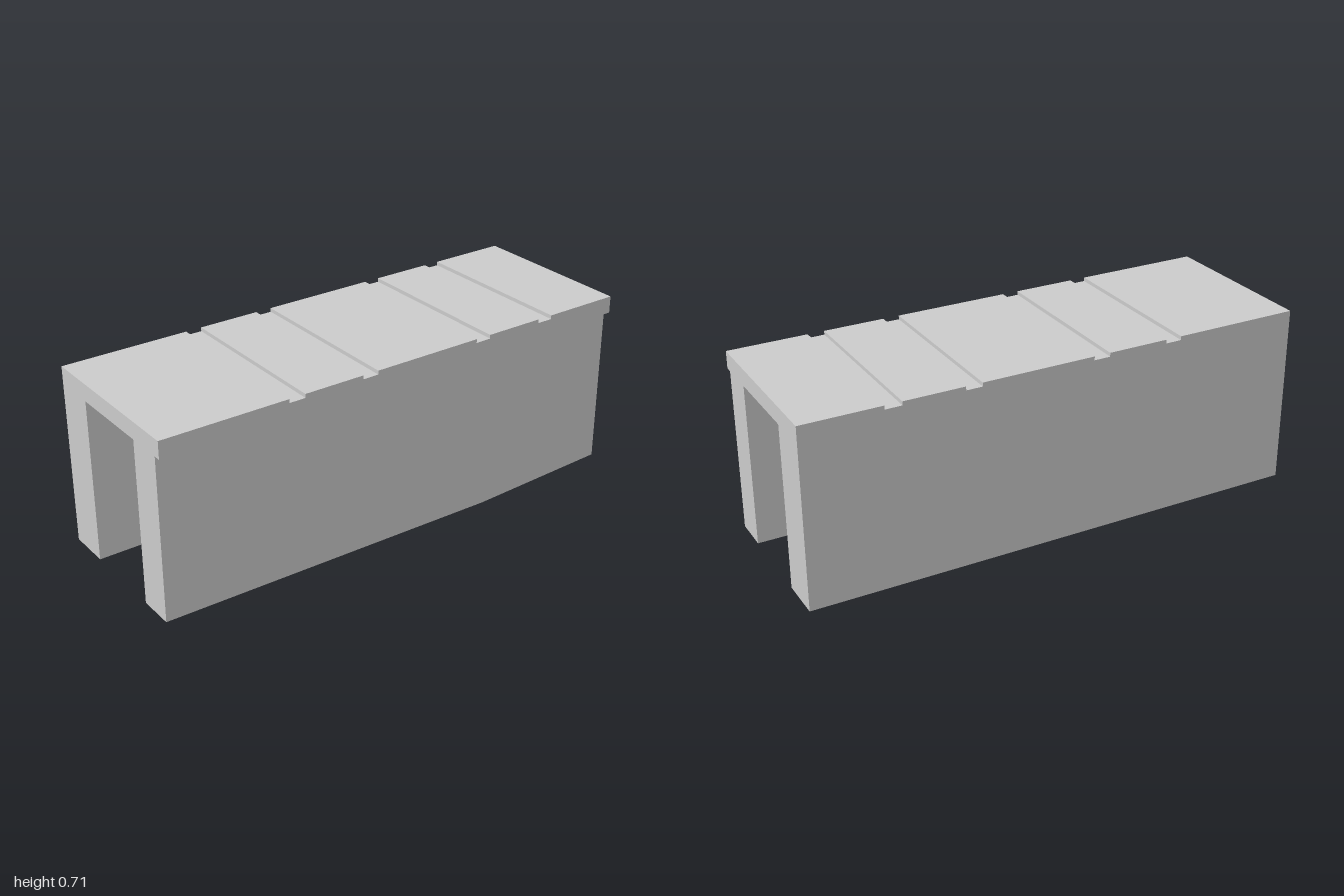
import * as THREE from 'three';

const HALF_W = 0.34, HALF_L = 1, TOP = 0.711, SOFFIT = 0.643;

function polygon(points) {
  return new THREE.Shape(points.map(([a, b]) => new THREE.Vector2(a, b)));
}

// Wall from a plan outline of [x, z] points, standing on the ground
function wall(name, plan, material) {
  const geometry = new THREE.ExtrudeGeometry(
    polygon(plan.map(([x, z]) => [x, -z])), { depth: SOFFIT, bevelEnabled: false });
  geometry.rotateX(-Math.PI / 2);
  const mesh = new THREE.Mesh(geometry, material);
  mesh.name = name;
  return mesh;
}

// Roof slab: side profile with shallow grooves, extruded across the width
function roofSlab(material) {
  const grooves = [[-0.688, -0.623], [-0.385, -0.321], [0.127, 0.192], [0.434, 0.498]];
  const floor = TOP - 0.015;
  const profile = [[HALF_L, SOFFIT], [HALF_L, TOP]];
  for (const [back, front] of [...grooves].reverse()) {
    profile.push([front, TOP], [front, floor], [back, floor], [back, TOP]);
  }
  profile.push([-HALF_L, TOP], [-HALF_L, SOFFIT]);
  const geometry = new THREE.ExtrudeGeometry(
    polygon(profile), { depth: 2 * HALF_W, bevelEnabled: false });
  geometry.rotateY(-Math.PI / 2);
  geometry.translate(HALF_W, 0, 0);
  const mesh = new THREE.Mesh(geometry, material);
  mesh.name = 'groovedRoof';
  return mesh;
}

export function createModel() {
  const group = new THREE.Group();
  group.name = 'coveredPassage';
  const material = new THREE.MeshStandardMaterial({ color: 0xcccccc, flatShading: true });

  group.add(roofSlab(material));

  // Straight wall, flush with the roof edge
  group.add(wall('rightWall', [
    [-HALF_W, -HALF_L], [-0.17, -HALF_L], [-0.17, HALF_L], [-HALF_W, HALF_L],
  ], material));

  // Kinked wall: meets the roof edge at the crease, set back at both ends
  group.add(wall('leftKinkedWall', [
    [0.17, -HALF_L], [0.312, -HALF_L], [HALF_W, -0.385], [0.312, HALF_L], [0.17, HALF_L],
  ], material));

  return group;
}
